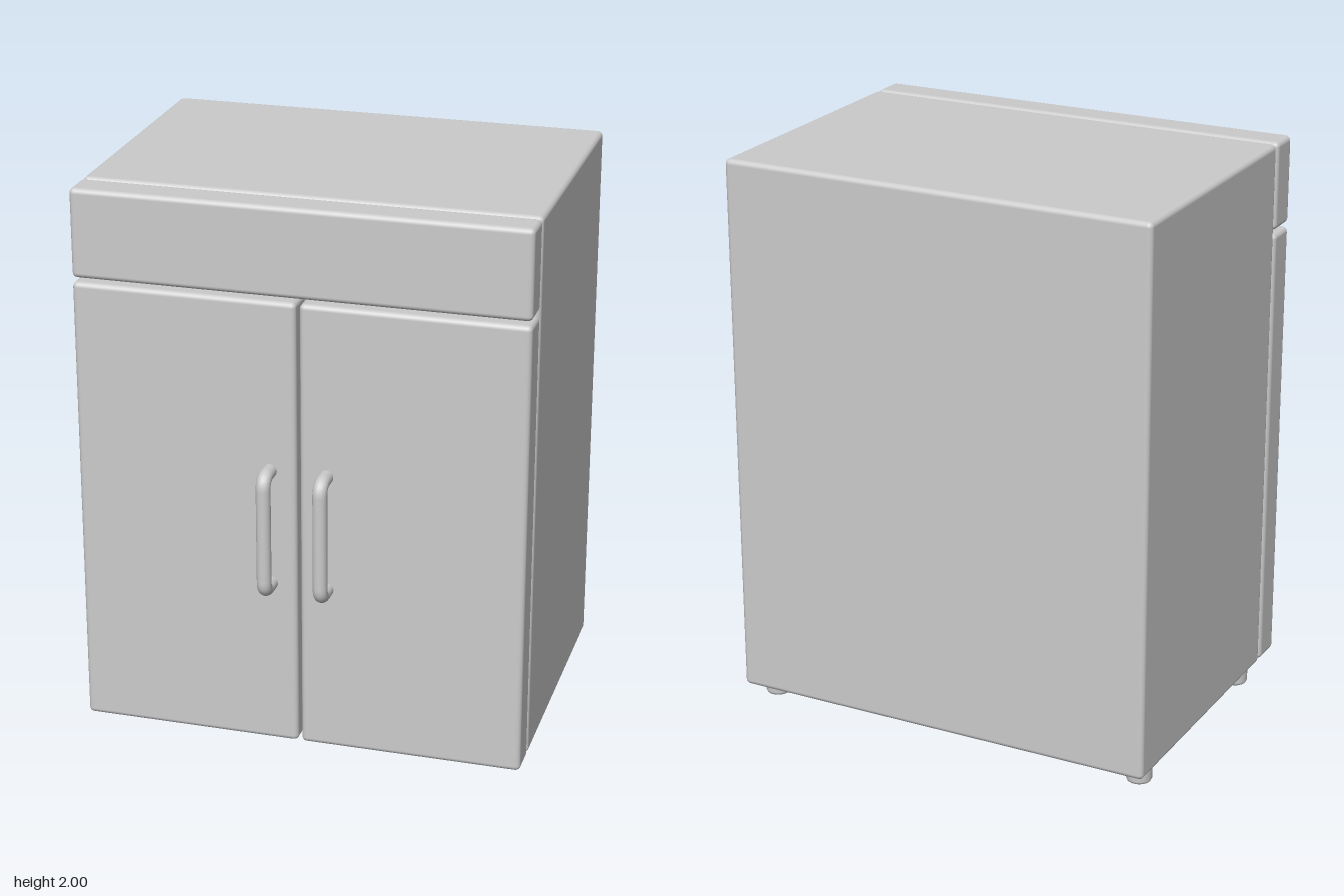
import * as THREE from 'three';
import { RoundedBoxGeometry } from 'three/addons/geometries/RoundedBoxGeometry.js';

const material = new THREE.MeshStandardMaterial({ color: 0xcccccc });

export function createModel() {
  const model = new THREE.Group();

  const add = (name, geometry, x = 0, y = 0, z = 0) => {
    const mesh = new THREE.Mesh(geometry, material);
    mesh.name = name;
    mesh.position.set(x, y, z);
    model.add(mesh);
  };

  // Softly rounded box given by its extents
  const slab = (name, [x0, x1], [y0, y1], [z0, z1]) =>
    add(name, new RoundedBoxGeometry(x1 - x0, y1 - y0, z1 - z0, 3, 0.018),
      (x0 + x1) / 2, (y0 + y1) / 2, (z0 + z1) / 2);

  // Cabinet, upper panel and the two doors
  const front = [0.397, 0.52];
  slab('cabinet', [-0.78, 0.78], [0.06, 2], [-0.62, 0.39]);
  slab('upperPanel', [-0.78, 0.78], [1.69, 2], front);
  slab('rightDoor', [-0.78, -0.006], [0.06, 1.675], front);
  slab('leftDoor', [0.006, 0.78], [0.06, 1.675], front);

  // Handle path: out of the door, round the bend, down and back in
  const v = (y, z) => new THREE.Vector3(0, y, z);
  const top = 1.075, bottom = 0.66, out = 0.595, inner = 0.5, bend = 0.04;
  const path = new THREE.CurvePath();
  path.add(new THREE.LineCurve3(v(top, inner), v(top, out - bend)));
  path.add(new THREE.QuadraticBezierCurve3(v(top, out - bend), v(top, out), v(top - bend, out)));
  path.add(new THREE.LineCurve3(v(top - bend, out), v(bottom + bend, out)));
  path.add(new THREE.QuadraticBezierCurve3(v(bottom + bend, out), v(bottom, out), v(bottom, out - bend)));
  path.add(new THREE.LineCurve3(v(bottom, out - bend), v(bottom, inner)));
  const handle = new THREE.TubeGeometry(path, 80, 0.025, 16);
  add('rightHandle', handle, -0.098);
  add('leftHandle', handle, 0.098);

  // Feet with a rounded lower rim
  const profile = [[0, 0], [0.034, 0], [0.041, 0.004], [0.045, 0.013], [0.045, 0.07]]
    .map(([r, y]) => new THREE.Vector2(r, y));
  const foot = new THREE.LatheGeometry(profile, 24);
  for (const [side, x] of [['right', -0.72], ['left', 0.708]]) {
    add(side + 'FrontFoot', foot, x, 0, 0.31);
    add(side + 'BackFoot', foot, x, 0, -0.51);
  }

  return model;
}
